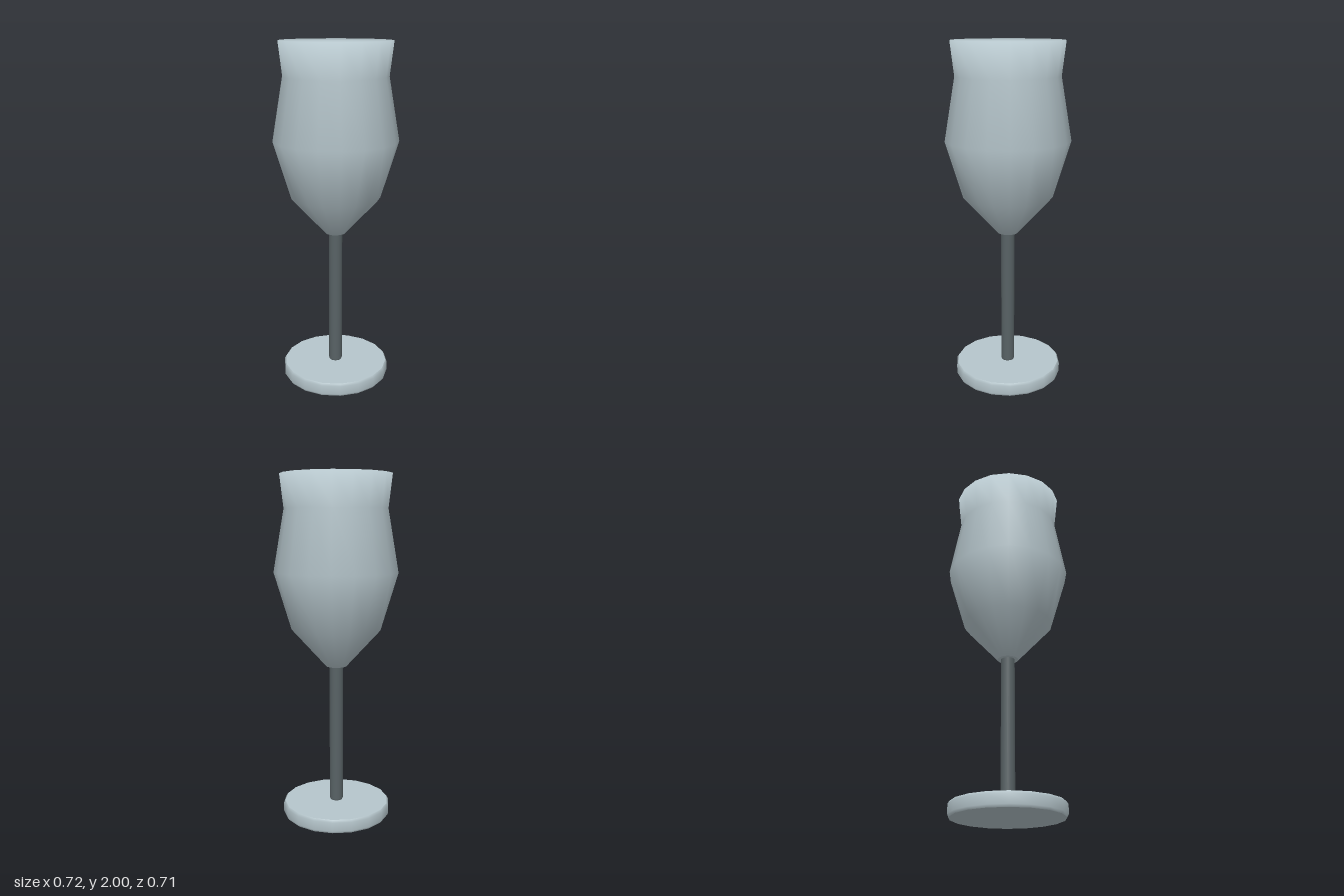
import * as THREE from 'three';

const SIDES = 18;

const bowlColour = new THREE.MeshStandardMaterial({ color: 0xb6c6cc });
bowlColour.name = 'pale blue grey';
const stemColour = new THREE.MeshStandardMaterial({ color: 0x586265 });
stemColour.name = 'dark grey';

// Turned part from [radius, height] pairs; a repeated pair makes a sharp edge
function turned(name, profile, material) {
  const points = profile.map(([r, y]) => new THREE.Vector2(r, y));
  const geometry = new THREE.LatheGeometry(points, SIDES, Math.PI / 2);
  const mesh = new THREE.Mesh(geometry, material);
  mesh.name = name;
  return mesh;
}

export function createModel() {
  const group = new THREE.Group();
  group.name = 'goblet';

  // Round foot with softened edges
  group.add(turned('foot', [
    [0, 0], [0.31, 0], [0.31, 0],
    [0.319, 0.014], [0.319, 0.066],
    [0.31, 0.08], [0.31, 0.08], [0, 0.08],
  ], bowlColour));

  // Slim stem
  group.add(turned('stem', [
    [0.034, 0.075], [0.04, 0.09], [0.04, 0.91],
  ], stemColour));

  // Tulip bowl, filled to the brim, with shading that flows over the rim
  group.add(turned('bowl', [
    [0, 0.905], [0.06, 0.905], [0.06, 0.905],
    [0.26, 1.125], [0.359, 1.455], [0.297, 1.81],
    [0.319, 2], [0, 2],
  ], bowlColour));

  return group;
}
